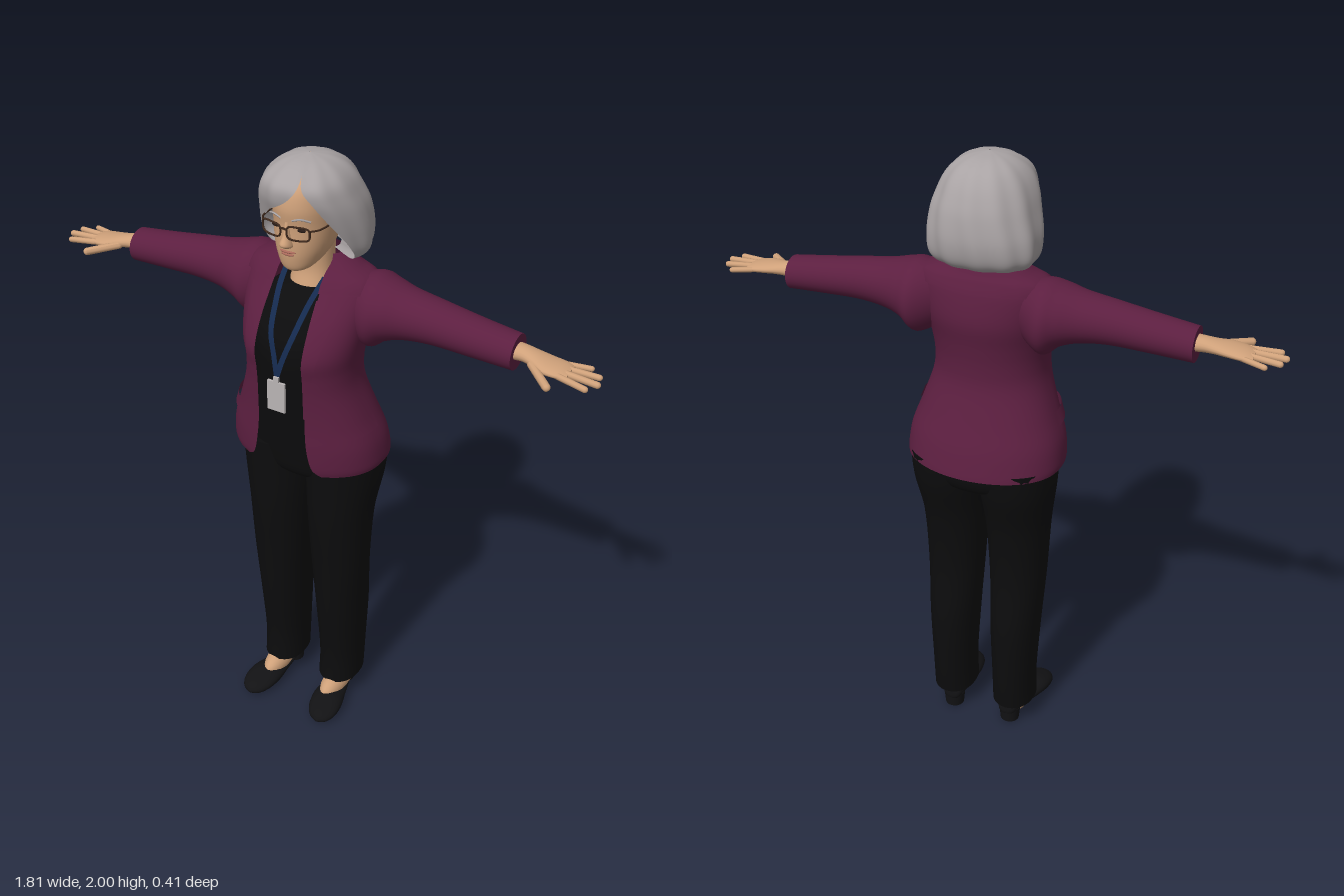
import * as THREE from 'three';

const mat = (name, color, side = THREE.FrontSide) => {
  const m = new THREE.MeshStandardMaterial({ color, side });
  m.name = name;
  return m;
};

// Catmull-Rom interpolation of every column in a table of key rows
function smooth(rows, n) {
  const out = [];
  for (let i = 0; i <= n; i++) {
    const t = (i / n) * (rows.length - 1);
    const k = Math.min(Math.floor(t), rows.length - 2), f = t - k;
    const at = j => rows[Math.max(0, Math.min(rows.length - 1, j))];
    out.push(rows[k].map((b, c) => {
      const a = at(k - 1)[c], d = at(k + 1)[c], e = at(k + 2)[c];
      return b + 0.5 * f * (d - a + f * (2 * a - 5 * b + 4 * d - e + f * (3 * (b - d) + e - a)));
    }));
  }
  return out;
}

// Skin a surface: point(row, u) gives [x, y, z]; closed surfaces wrap round and get end caps
function skin(rows, n, m, point, closed = true) {
  const pos = [], index = [], R = smooth(rows, n), w = closed ? m : m + 1;
  for (const r of R) for (let j = 0; j < w; j++) pos.push(...point(r, j / m));
  for (let i = 0; i < n; i++) for (let j = 0; j < m; j++) {
    const a = i * w + j, b = i * w + (j + 1) % w;
    index.push(a, b, a + w, b, b + w, a + w);
  }
  if (closed) for (const end of [0, n]) {
    const base = pos.length / 3, c = [0, 0, 0];
    for (let j = 0; j < m; j++) {
      const p = point(R[end], j / m);
      pos.push(...p);
      p.forEach((v, k) => { c[k] += v / m; });
    }
    pos.push(...c);
    for (let j = 0; j < m; j++) {
      const a = base + j, b = base + (j + 1) % m;
      index.push(base + m, ...(end ? [a, b] : [b, a]));
    }
  }
  const g = new THREE.BufferGeometry();
  g.setAttribute('position', new THREE.Float32BufferAttribute(pos, 3));
  g.setIndex(index);
  g.computeVertexNormals();
  return g;
}

function mirrored(g) {
  const c = g.clone().scale(-1, 1, 1), id = c.index.array;
  for (let i = 0; i < id.length; i += 3) [id[i], id[i + 1]] = [id[i + 1], id[i]];
  c.computeVertexNormals();
  return c;
}

// Upright oval: row = [y, cx, half width, z front, z back], angle measured from the front
function oval([y, cx, hw, zf, zb], a, grow = 0) {
  const c = Math.cos(a);
  return [cx + (hw + grow) * Math.sin(a), y,
    (zf + zb) / 2 + ((zf - zb) / 2 + grow) * Math.sign(c) * Math.abs(c) ** 0.85];
}
const ring = (r, u) => oval(r, u * Math.PI * 2);
// Sideways oval along x: row = [x, y top, y bottom, z front, z back]
const sideRing = ([x, t, b, zf, zb], u) => [x,
  (t + b) / 2 - (t - b) / 2 * Math.sin(u * Math.PI * 2),
  (zf + zb) / 2 + (zf - zb) / 2 * Math.cos(u * Math.PI * 2)];
// Lengthwise oval along z: row = [z, cx, half width, y bottom, y top]
const longRing = ([z, cx, hw, b, t], u) => [cx - hw * Math.sin(u * Math.PI * 2),
  (t + b) / 2 + (t - b) / 2 * Math.cos(u * Math.PI * 2), z];

export function createModel() {
  const model = new THREE.Group();
  const D = THREE.DoubleSide;
  const jacketMat = mat('plum cloth', 0x5c1f40, D), black = mat('black cloth', 0x0c0c0d);
  const skinMat = mat('skin', 0xcfa17a), hairMat = mat('silver hair', 0xa9a3a4, D);
  const shoeMat = mat('black leather', 0x121214), blue = mat('blue ribbon', 0x14294d, D);
  const badgeMat = mat('pale card', 0xb9b4b4), frameMat = mat('brown frame', 0x3d281c);
  const lipMat = mat('lips', 0xa8695a), eyeMat = mat('dark eye', 0x2a1d18);

  const add = (name, g, m) => {
    const mesh = new THREE.Mesh(g, m);
    mesh.name = name;
    model.add(mesh);
  };
  const pair = (name, g, m) => {
    add('left' + name, g, m);
    add('right' + name, mirrored(g), m);
  };
  const ball = (x, y, z, rx, ry, rz) =>
    new THREE.SphereGeometry(1, 20, 14).scale(rx, ry, rz).translate(x, y, z);
  const tube = (pts, r, closed = false, n = 24) => new THREE.TubeGeometry(
    new THREE.CatmullRomCurve3(pts.map(p => new THREE.Vector3(...p)), closed), n, r, 6, closed);

  // Trousers
  pair('TrouserLeg', skin([
    [0.085, 0.11, 0.07, 0.07, -0.115], [0.2, 0.11, 0.07, 0.066, -0.125],
    [0.4, 0.11, 0.079, 0.085, -0.13], [0.6, 0.11, 0.09, 0.1, -0.11],
    [0.8, 0.109, 0.101, 0.115, -0.125], [0.95, 0.113, 0.117, 0.118, -0.165],
    [1.05, 0.115, 0.12, 0.12, -0.175]], 36, 36, ring), black);
  add('trouserHips', skin([
    [0.925, 0, 0.07, 0.05, -0.1], [0.965, 0, 0.19, 0.105, -0.16], [1.03, 0, 0.232, 0.122, -0.175],
    [1.12, 0, 0.215, 0.135, -0.155], [1.22, 0, 0.17, 0.15, -0.11]], 20, 40, ring), black);

  // Shoes and feet
  pair('Foot', ball(0.115, 0.052, 0.02, 0.041, 0.046, 0.095), skinMat);
  pair('Shoe', skin([
    [-0.096, 0.103, 0.004, 0.05, 0.07], [-0.085, 0.104, 0.03, 0.03, 0.085],
    [-0.03, 0.108, 0.04, 0.03, 0.07], [0.04, 0.118, 0.046, 0.012, 0.055],
    [0.1, 0.126, 0.056, 0, 0.062], [0.15, 0.132, 0.052, 0, 0.05],
    [0.185, 0.135, 0.033, 0.002, 0.036], [0.2, 0.136, 0.004, 0.012, 0.02]], 32, 24, longRing), shoeMat);
  pair('ShoeHeel', new THREE.CylinderGeometry(0.037, 0.032, 0.05, 20).translate(0.105, 0.025, -0.058), shoeMat);

  // Shirt
  add('shirt', skin([
    [1.12, 0, 0.18, 0.148, -0.1], [1.3, 0, 0.155, 0.168, -0.09], [1.44, 0, 0.165, 0.178, -0.1],
    [1.52, 0, 0.165, 0.145, -0.1], [1.58, 0, 0.12, 0.09, -0.09], [1.605, 0, 0.068, 0.055, -0.08]],
  30, 40, ring), black);

  // Jacket body, open down the front; last column is the opening angle in degrees
  const jacketRows = [
    [1.03, 0, 0.25, 0.183, -0.205, 31], [1.055, 0, 0.252, 0.187, -0.2, 24],
    [1.12, 0, 0.243, 0.188, -0.183, 21], [1.2, 0, 0.215, 0.187, -0.155, 22],
    [1.3, 0, 0.183, 0.192, -0.125, 26], [1.37, 0, 0.177, 0.198, -0.122, 27],
    [1.44, 0, 0.186, 0.203, -0.13, 26], [1.52, 0, 0.2, 0.165, -0.143, 24],
    [1.6, 0, 0.21, 0.105, -0.132, 22], [1.645, 0, 0.195, 0.07, -0.115, 23],
    [1.67, 0, 0.14, 0.045, -0.1, 32], [1.7, 0, 0.085, 0.015, -0.085, 55]];
  const rad = Math.PI / 180;
  const openBody = (r, u) => oval(r, (r[5] + u * (360 - 2 * r[5])) * rad);
  add('jacketBody', skin(jacketRows, 50, 64, openBody, false), jacketMat);

  // Panels that lie on the jacket: from and to are angles in degrees at height fraction v
  const dense = smooth(jacketRows, 110);
  const panel = (y0, y1, from, to, lift) => {
    const rows = dense.filter(r => r[0] >= y0 && r[0] <= y1);
    const keyed = rows.map((r, i) => [...r, i / (rows.length - 1)]);
    return skin(keyed, keyed.length - 1, 16, (r, u) => {
      const a = from(r[6], r[5]), b = to(r[6], r[5]);
      return oval(r, (a + (b - a) * u) * rad, lift);
    }, false);
  };
  pair('Lapel', panel(1.24, 1.6, (v, g) => g - 1, (v, g) => g + 1 + 20 * v, 0.008), jacketMat);
  pair('PocketFlap', panel(1.16, 1.215, () => 42, () => 92, 0.009), jacketMat);
  add('collar', panel(1.615, 1.705, (v, g) => g - 1, (v, g) => 361 - g, 0.008), jacketMat);

  // Sleeves
  pair('Sleeve', skin([
    [0.13, 1.645, 1.47, 0.04, -0.1], [0.2, 1.661, 1.43, 0.075, -0.145], [0.25, 1.652, 1.463, 0.07, -0.13],
    [0.31, 1.638, 1.483, 0.052, -0.11], [0.4, 1.625, 1.493, 0.042, -0.098],
    [0.52, 1.607, 1.49, 0.035, -0.09], [0.648, 1.59, 1.485, 0.028, -0.085]], 36, 32, sideRing), jacketMat);

  // Hands with spread fingers, palms down
  pair('Palm', skin([
    [0.62, 1.567, 1.515, 0.01, -0.062], [0.665, 1.565, 1.52, 0.005, -0.058],
    [0.7, 1.559, 1.52, 0.015, -0.058], [0.74, 1.552, 1.517, 0.034, -0.06],
    [0.785, 1.544, 1.516, 0.032, -0.06], [0.81, 1.536, 1.522, 0.018, -0.048]], 24, 20, sideRing), skinMat);
  const fingers = [
    ['Thumb', [0.7, 1.535, 0.005], [0.782, 1.522, 0.083], 0.012],
    ['IndexFinger', [0.775, 1.53, 0.019], [0.876, 1.524, 0.04], 0.0095],
    ['MiddleFinger', [0.78, 1.531, -0.003], [0.898, 1.525, 0.003], 0.0098],
    ['RingFinger', [0.78, 1.531, -0.026], [0.889, 1.525, -0.036], 0.0092],
    ['LittleFinger', [0.77, 1.53, -0.047], [0.853, 1.524, -0.071], 0.0085]];
  for (const [name, a, b, r] of fingers) {
    const A = new THREE.Vector3(...a), dir = new THREE.Vector3(...b).sub(A), len = dir.length();
    const g = new THREE.CapsuleGeometry(r, len - r, 5, 10).translate(0, len / 2, 0);
    g.applyQuaternion(new THREE.Quaternion().setFromUnitVectors(new THREE.Vector3(0, 1, 0), dir.normalize()));
    pair(name, g.translate(...a), skinMat);
  }

  // Neck, head and face
  add('neck', skin([
    [1.55, 0, 0.08, 0.07, -0.08], [1.6, 0, 0.068, 0.056, -0.078],
    [1.66, 0, 0.06, 0.042, -0.076], [1.76, 0, 0.06, 0.05, -0.08]], 16, 28, ring), skinMat);
  add('head', skin([
    [1.676, 0, 0.012, 0.105, 0.07], [1.688, 0, 0.044, 0.122, 0.01], [1.72, 0, 0.067, 0.131, -0.06],
    [1.76, 0, 0.081, 0.134, -0.09], [1.82, 0, 0.089, 0.134, -0.11], [1.88, 0, 0.09, 0.139, -0.11],
    [1.94, 0, 0.08, 0.118, -0.1], [1.98, 0, 0.03, 0.05, -0.05]], 36, 40, ring), skinMat);
  add('nose', skin([
    [1.759, 0, 0.006, 0.138, 0.12], [1.766, 0, 0.018, 0.153, 0.11], [1.777, 0, 0.017, 0.163, 0.11],
    [1.8, 0, 0.011, 0.15, 0.11], [1.838, 0, 0.008, 0.138, 0.11]], 16, 16, ring), skinMat);
  add('upperLip', ball(0, 1.747, 0.13, 0.026, 0.0045, 0.008), lipMat);
  add('lowerLip', ball(0, 1.739, 0.13, 0.021, 0.005, 0.008), lipMat);
  pair('Eye', ball(0.04, 1.818, 0.124, 0.015, 0.006, 0.005), eyeMat);
  pair('Eyebrow', tube([[0.018, 1.847, 0.135], [0.042, 1.853, 0.13], [0.066, 1.845, 0.114]], 0.003), hairMat);

  // Glasses
  const rim = [];
  for (let i = 0; i < 16; i++) {
    const a = i / 16 * Math.PI * 2, s = v => Math.sign(v) * Math.abs(v) ** 0.55;
    const x = 0.043 + 0.033 * s(Math.cos(a));
    rim.push([x, 1.817 + 0.02 * s(Math.sin(a)), 0.152 - 2.6 * x * x]);
  }
  pair('LensRim', tube(rim, 0.003, true, 48), frameMat);
  add('glassesBridge', tube([[-0.011, 1.824, 0.152], [0, 1.828, 0.154], [0.011, 1.824, 0.152]], 0.003), frameMat);
  pair('GlassesArm', tube([[0.075, 1.828, 0.137], [0.092, 1.827, 0.11], [0.098, 1.825, 0]], 0.003), frameMat);

  // Bob haircut with side-swept fringe; last columns are the opening angles on each side
  add('hair', skin([
    [1.715, 0, 0.07, 0.02, -0.09, 75, 70], [1.692, -0.003, 0.13, 0.045, -0.13, 76, 66],
    [1.72, -0.005, 0.163, 0.068, -0.163, 66, 56], [1.78, -0.004, 0.167, 0.1, -0.176, 55, 45],
    [1.85, 0, 0.155, 0.132, -0.168, 42, 28], [1.9, 0, 0.14, 0.15, -0.15, 34, 0],
    [1.94, 0.001, 0.121, 0.147, -0.126, 24, -16], [1.97, 0.001, 0.093, 0.112, -0.094, 20, -20],
    [1.99, 0.001, 0.055, 0.068, -0.05, 20, -20], [2, 0.001, 0.002, 0.012, 0.008, 20, -20]],
  54, 96, (r, u) => {
    const a = (r[5] + u * (360 - r[6] - r[5])) * rad;
    return oval(r, a, 0.018 * r[2] * Math.sin(11 * a + r[0] * 9));
  }, false), hairMat);

  // Lanyard and badge
  const ribbon = skin([
    [0.066, 1.64, 0.035], [0.06, 1.61, 0.076], [0.051, 1.57, 0.116], [0.037, 1.5, 0.168],
    [0.015, 1.43, 0.189], [0, 1.37, 0.2]], 24, 1, ([x, y, z], u) => [x + (u - 0.5) * 0.018, y, z], false);
  pair('Lanyard', ribbon, blue);
  add('badge', new THREE.BoxGeometry(0.06, 0.1, 0.008).translate(0, 1.305, 0.202), badgeMat);
  add('badgeClip', new THREE.BoxGeometry(0.018, 0.02, 0.008).translate(0, 1.362, 0.202), badgeMat);

  return model;
}
